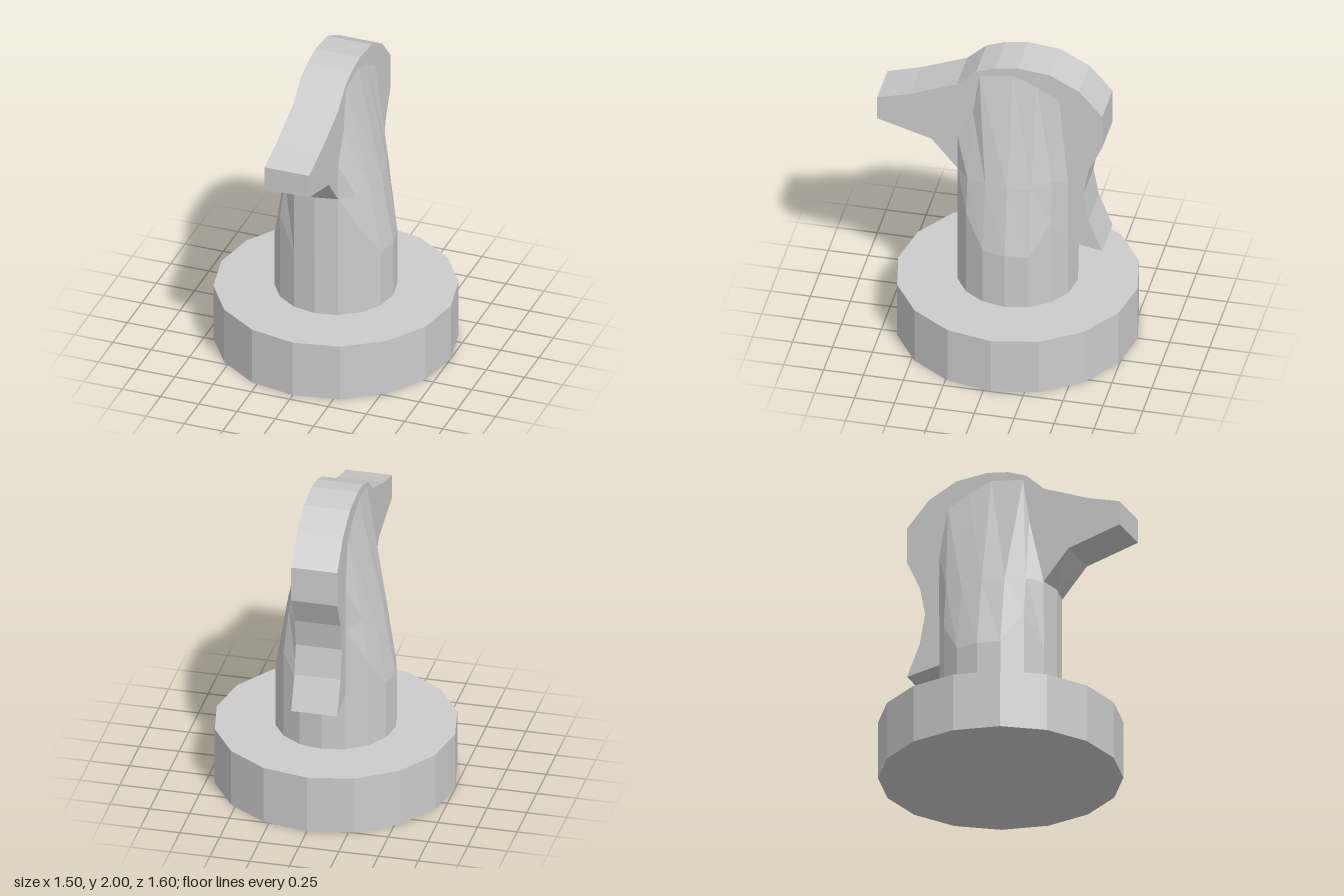
import * as THREE from 'three';
import { ConvexGeometry } from 'three/addons/geometries/ConvexGeometry.js';

const SIDES = 16, RADIUS = 0.375, HALF = 0.145, CZ = -0.05;

export function createModel() {
  const group = new THREE.Group();
  const material = new THREE.MeshStandardMaterial({ color: 0xcccccc, flatShading: true });
  const add = (name, geometry) => {
    const mesh = new THREE.Mesh(geometry, material);
    mesh.name = name;
    group.add(mesh);
    return mesh;
  };

  // Round foot
  add('base', new THREE.CylinderGeometry(0.75, 0.75, 0.375, SIDES)).position.set(0, 0.1875, CZ);

  // Neck: a 16-sided column whose flanks lean in to meet the head slab
  add('neck', neckGeometry());

  // Head slab: side profile (z, y) with muzzle, crown and mane
  const profile = [
    [0.8, 1.495], [0.8, 1.65], [0.59, 1.71], [0.3, 1.825], [0.18, 1.935], [0.06, 1.98],
    [-0.08, 2], [-0.28, 1.98], [-0.465, 1.885], [-0.61, 1.72], [-0.61, 1.49], [-0.525, 1.305],
    [-0.49, 1.12], [-0.525, 0.93], [-0.61, 0.72], [-0.4, 0.76], [0.296, 1.2], [0.46, 1.395],
  ];
  const shape = new THREE.Shape(profile.map(([z, y]) => new THREE.Vector2(z, y)));
  const slab = new THREE.ExtrudeGeometry(shape, { depth: 2 * HALF, bevelEnabled: false });
  slab.translate(0, 0, -HALF).rotateY(-Math.PI / 2);
  add('head', slab);

  // Throat: small wedge joining the jaw to the front ridge of the neck
  const corners = [new THREE.Vector3(0, 1.2, 0.325)];
  for (const x of [-HALF, HALF]) {
    corners.push(new THREE.Vector3(x, 1.2, 0.296), new THREE.Vector3(x, 1.395, 0.46));
  }
  add('throat', new ConvexGeometry(corners));
  return group;
}

function neckGeometry() {
  // Per column, front to back: where the lean starts, [x, y] at the shoulder, [y, z] at the tip
  const columns = [
    { start: 0.75, shoulder: [0, 1.2], tip: [1.2, 0.325] },
    { start: 0.75, shoulder: [HALF, 1.2], tip: [1.44, 0.296] },
    { start: 0.96, shoulder: [0.232, 1.2], tip: [1.63, 0.2] },
    { start: 0.75, shoulder: [0.278, 1.2], tip: [1.91, 0.16] },
    { start: 0.75, shoulder: [0.3, 1.2], tip: [1.94, -0.05] },
    { start: 0.75, shoulder: [0.278, 1.2], tip: [1.88, -0.2] },
    { start: 0.96, shoulder: [0.232, 1.25], tip: [1.8, -0.34] },
    { start: 0.75, shoulder: [HALF, 1.2], tip: [1.49, -0.396] },
    { start: 0.75, shoulder: [0, 0.75], tip: [0.75, -0.425] },
  ];
  const ROWS = 4, positions = [], index = [];
  for (let k = 0; k < SIDES; k++) {
    const angle = (k / SIDES) * Math.PI * 2;
    const side = k > 8 ? -1 : 1;
    const c = columns[k > 8 ? SIDES - k : k];
    const x = Math.sin(angle) * RADIUS, z = CZ + Math.cos(angle) * RADIUS;
    const tipX = c.shoulder[0] === 0 ? 0 : HALF * side;
    positions.push(x, 0.37, z, x, c.start, z);
    positions.push(c.shoulder[0] * side, c.shoulder[1], z, tipX, ...c.tip);
    for (let r = 0; r < ROWS - 1; r++) {
      const a = k * ROWS + r, b = ((k + 1) % SIDES) * ROWS + r;
      index.push(a, b, a + 1, b, b + 1, a + 1);
    }
  }
  const geometry = new THREE.BufferGeometry();
  geometry.setAttribute('position', new THREE.Float32BufferAttribute(positions, 3));
  geometry.setIndex(index);
  const flat = geometry.toNonIndexed();
  flat.computeVertexNormals();
  return flat;
}
